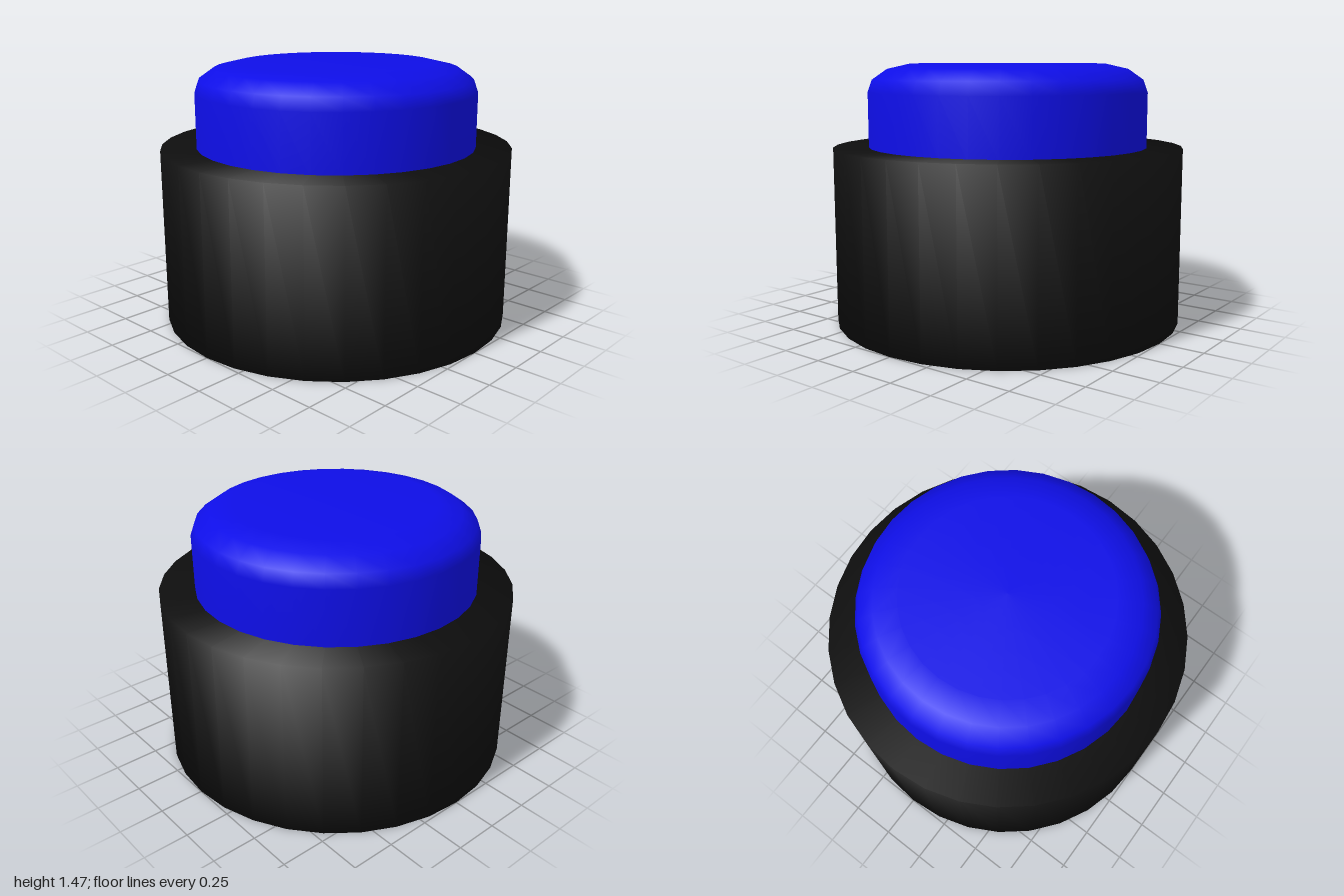
import * as THREE from 'three';

const SEGMENTS = 32;

// Smooth solid of revolution from [radius, height] pairs, bottom to top
function turned(name, profile, material) {
  const points = profile.map(([r, y]) => new THREE.Vector2(r, y));
  const mesh = new THREE.Mesh(new THREE.LatheGeometry(points, SEGMENTS), material);
  mesh.name = name;
  return mesh;
}

export function createModel() {
  const black = new THREE.MeshStandardMaterial({ color: 0x0e0e0e });
  black.name = 'black housing';
  const blue = new THREE.MeshStandardMaterial({ color: 0x0e0ee7 });
  blue.name = 'blue cap';

  const model = new THREE.Group();
  model.name = 'pushButton';

  // Round housing, shaded smoothly over its rims
  model.add(turned('housing', [[0, 0], [1, 0], [1, 1], [0, 1]], black));

  // Button cap with a rounded shoulder, seated slightly into the housing
  model.add(turned('buttonCap', [
    [0.8, 0.98], [0.8, 1.31], [0.775, 1.38], [0.69, 1.44], [0.56, 1.47], [0, 1.47],
  ], blue));

  return model;
}
